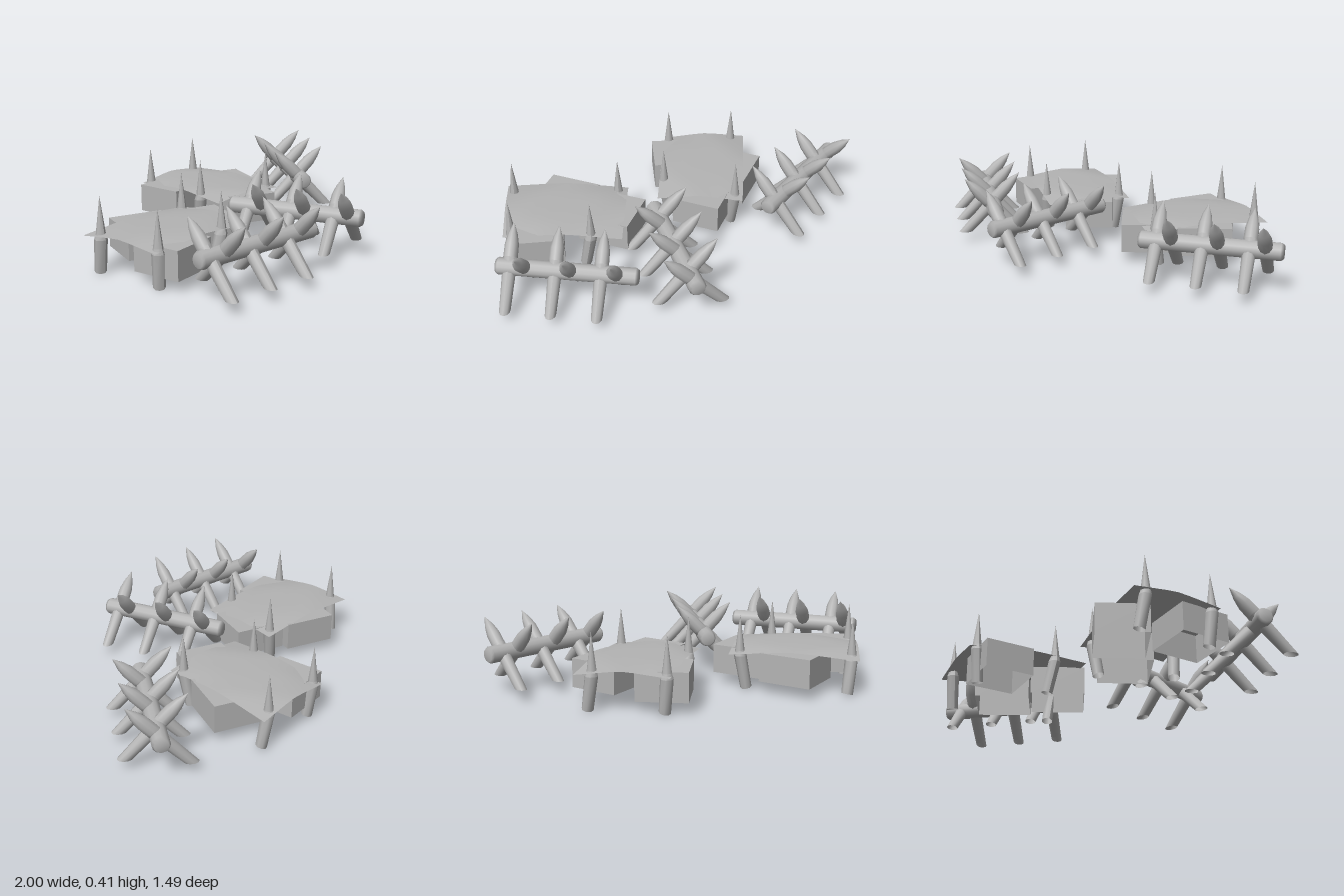
import * as THREE from 'three';
import { mergeGeometries } from 'three/addons/utils/BufferGeometryUtils.js';

const grey = new THREE.MeshStandardMaterial({ color: 0xb4b4b4, side: THREE.DoubleSide });
grey.name = 'plain grey';

function add(parent, name, geometry) {
  const mesh = new THREE.Mesh(geometry, grey);
  mesh.name = name;
  parent.add(mesh);
  return mesh;
}

// Applies a rule to every vertex
function bend(geometry, rule) {
  const p = geometry.attributes.position;
  const v = new THREE.Vector3();
  for (let i = 0; i < p.count; i++) {
    rule(v.fromBufferAttribute(p, i));
    p.setXYZ(i, v.x, v.y, v.z);
  }
  geometry.computeVertexNormals();
  return geometry;
}

// Turned shape from [radius, height] pairs
function lathe(points, sides) {
  return new THREE.LatheGeometry(points.map(([r, y]) => new THREE.Vector2(r, y)), sides);
}

// Log with slightly rounded ends, lying along x
function logGeometry() {
  const h = 0.369;
  const ends = lathe([[0, -h], [0.036, -h], [0.046, -h + 0.014], [0.046, h - 0.014], [0.036, h], [0, h]], 12);
  return ends.rotateZ(Math.PI / 2);
}

// Sharpened stake leaning by the given angle, hollow below, its foot cut level
function stakeGeometry(lean) {
  const drop = 0.165, foot = -drop / Math.cos(lean), neck = 0.05;
  const shaft = new THREE.CylinderGeometry(0.037, 0.029, neck - foot, 10, 1, true);
  shaft.translate(0, (neck + foot) / 2, 0);
  bend(shaft, v => {
    if (v.y < foot + 0.001) v.y = (-drop + v.z * Math.sin(lean)) / Math.cos(lean);
  });
  const point = lathe([[0.037, neck], [0.036, 0.115], [0.024, 0.17], [0, 0.23]], 10);
  return mergeGeometries([shaft, point]).rotateX(lean);
}

// Log with three pairs of crossed stakes, laid from one ground point to another
function barricade(x1, z1, x2, z2, shift) {
  const group = new THREE.Group();
  group.name = 'barricade';
  group.position.set((x1 + x2) / 2, 0.225, (z1 + z2) / 2);
  group.rotation.y = -Math.atan2(z2 - z1, x2 - x1);
  add(group, 'log', logGeometry());
  for (const x of [-0.237, 0, 0.237]) {
    for (const side of [-1, 1]) {
      add(group, 'crossedStake', stakeGeometry(side * 0.755)).position.x = x + shift + side * 0.041;
    }
  }
  return group;
}

// Upright spike whose lower shaft slants away from the tip
function spikeGeometry(dx, dz) {
  const shaft = new THREE.CylinderGeometry(0.034, 0.031, 0.18, 8, 1, true).translate(0, 0.095, 0);
  const collar = new THREE.CylinderGeometry(0.025, 0.034, 0.03, 8, 1, true).translate(0, 0.2, 0);
  const point = new THREE.ConeGeometry(0.025, 0.195, 8, 1, true).translate(0, 0.3125, 0);
  return bend(mergeGeometries([shaft, collar, point]), v => {
    // Foot ring tips with the slant
    if (v.y < 0.01) v.y = 0.008 + 0.25 * (v.x * Math.sign(dx) + v.z * Math.sign(dz)) * 0.7;
    const t = Math.max(0, 0.2 - v.y) / 0.2;
    v.x += dx * t;
    v.z += dz * t;
  });
}

// Cloth stretched between four corners, level in the middle and drooping at the corners
function clothGeometry() {
  const [a, b, c, d] = [[-0.97, -0.305], [-0.286, -0.23], [-0.34, 0.246], [-0.976, 0.176]];
  const mix = THREE.MathUtils.lerp;
  return bend(new THREE.PlaneGeometry(2, 2, 8, 8).rotateX(-Math.PI / 2), v => {
    const s = (v.x + 1) / 2, t = (v.z + 1) / 2;
    const edge = Math.max(v.x * v.x, v.z * v.z);
    const corner = Math.max(0, Math.abs(v.x) + Math.abs(v.z) - 1.1) / 0.9;
    v.x = mix(mix(a[0], b[0], s), mix(d[0], c[0], s), t);
    v.z = mix(mix(a[1], b[1], s), mix(d[1], c[1], s), t);
    v.y = 0.23 - 0.006 * edge - 0.026 * corner;
  });
}

// Box with no floor
function crateGeometry(width) {
  const box = new THREE.BoxGeometry(width, 0.155, 0.27);
  const faces = Array.from(box.index.array);
  faces.splice(18, 6);
  box.setIndex(faces);
  box.clearGroups();
  return box;
}

// Three crates under a cloth pinned by four spikes
function coveredStack() {
  const group = new THREE.Group();
  group.name = 'coveredStack';
  const crates = [
    [-0.64, -0.19, 0.292, -0.445],
    [-0.386, -0.021, 0.292, -0.43],
    [-0.786, 0.12, 0.265, 0.04],
  ];
  for (const [x, z, width, turn] of crates) {
    const crate = add(group, 'crate', crateGeometry(width));
    crate.position.set(x, 0.1375, z);
    crate.rotation.y = turn;
  }
  add(group, 'cloth', clothGeometry());
  const spikes = [
    [-0.931, -0.22, 0.018, -0.03],
    [-0.345, -0.19, -0.036, 0.018],
    [-0.505, 0.203, -0.035, -0.025],
    [-0.931, 0.155, 0.018, -0.015],
  ];
  for (const [x, z, dx, dz] of spikes) {
    add(group, 'spike', spikeGeometry(dx, dz)).position.set(x, 0, z);
  }
  return group;
}

export function createModel() {
  const model = new THREE.Group();
  model.name = 'fieldDefences';

  // Barricades along the front and left
  model.add(barricade(-0.99, 0.44, -0.265, 0.595, -0.022));
  model.add(barricade(-0.158, 0, 0.024, 0.717, 0.015));
  model.add(barricade(0.473, 0.059, 0.933, -0.492, 0));

  // Two covered stacks, the second turned a quarter
  model.add(coveredStack());
  const turned = coveredStack();
  turned.rotation.y = -1.6;
  turned.position.set(0.109, 0, 0.237);
  model.add(turned);
  return model;
}
